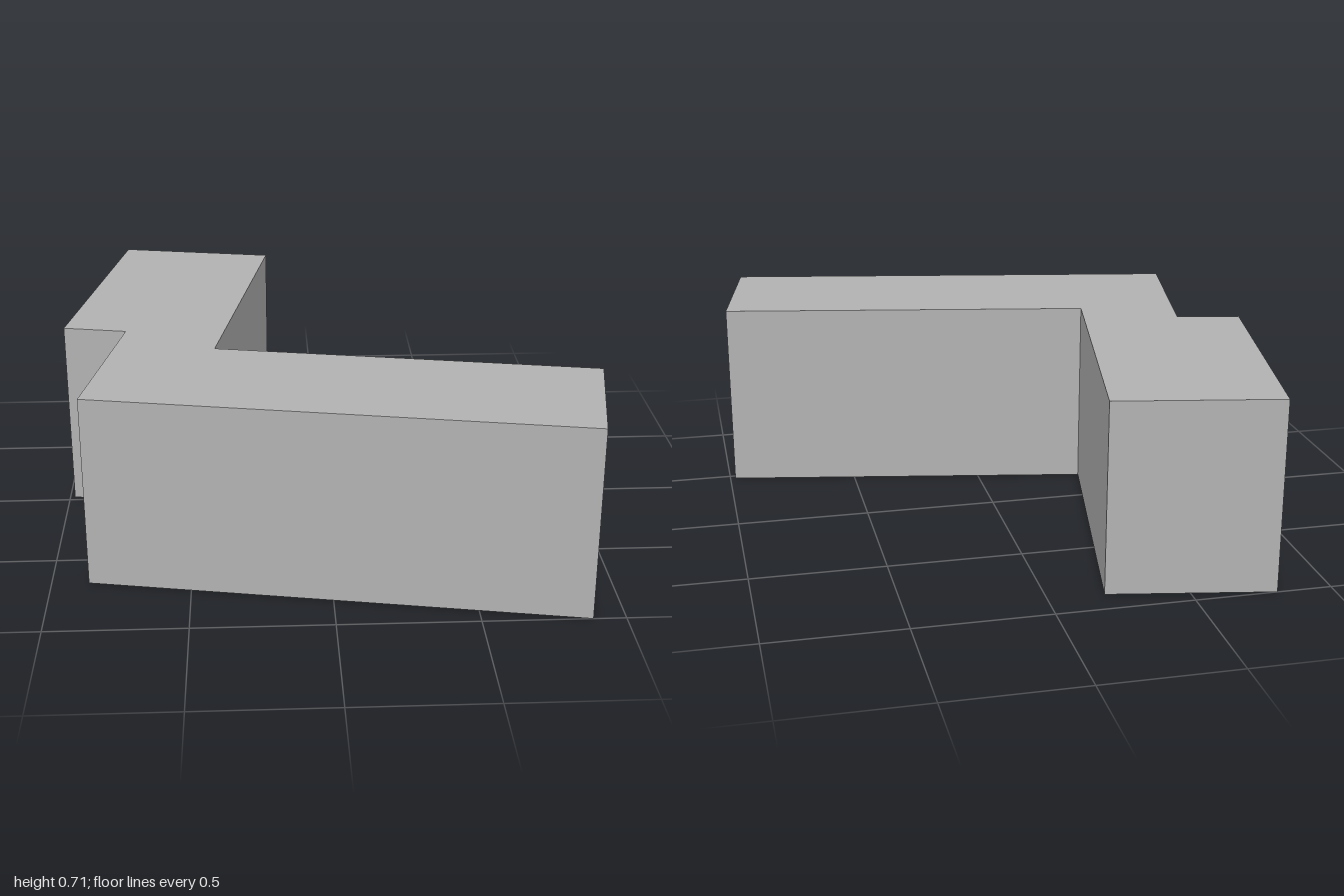
import * as THREE from 'three';

const HEIGHT = 0.713;

// Footprint corners as [x, z], clockwise seen from above
const FOOTPRINT = [
  [-0.80, -1.00], [-0.204, -0.89], [-0.407, 0.215], [0.98, 0.475],
  [0.885, 1.00], [-0.867, 0.672], [-0.745, 0.02], [-0.982, -0.025],
];

export function createModel() {
  const building = new THREE.Group();
  building.name = 'building';

  const grey = new THREE.MeshStandardMaterial({ color: 0xb3b3b3, side: THREE.DoubleSide });
  grey.name = 'plain grey';

  // Flat roof over the angled footprint
  const outline = new THREE.Shape(FOOTPRINT.map(([x, z]) => new THREE.Vector2(x, -z)));
  const roof = new THREE.Mesh(new THREE.ShapeGeometry(outline), grey);
  roof.geometry.rotateX(-Math.PI / 2);
  roof.position.y = HEIGHT;
  roof.name = 'roof';
  building.add(roof);

  // One wall per footprint edge, facing outwards; the underside stays open
  const walls = new THREE.Group();
  walls.name = 'walls';
  FOOTPRINT.forEach(([x1, z1], i) => {
    const [x2, z2] = FOOTPRINT[(i + 1) % FOOTPRINT.length];
    const dx = x1 - x2, dz = z1 - z2;
    const wall = new THREE.Mesh(new THREE.PlaneGeometry(Math.hypot(dx, dz), HEIGHT), grey);
    wall.position.set((x1 + x2) / 2, HEIGHT / 2, (z1 + z2) / 2);
    wall.rotation.y = Math.atan2(-dz, dx);
    wall.name = `wall${i + 1}`;
    walls.add(wall);
  });
  building.add(walls);

  return building;
}
